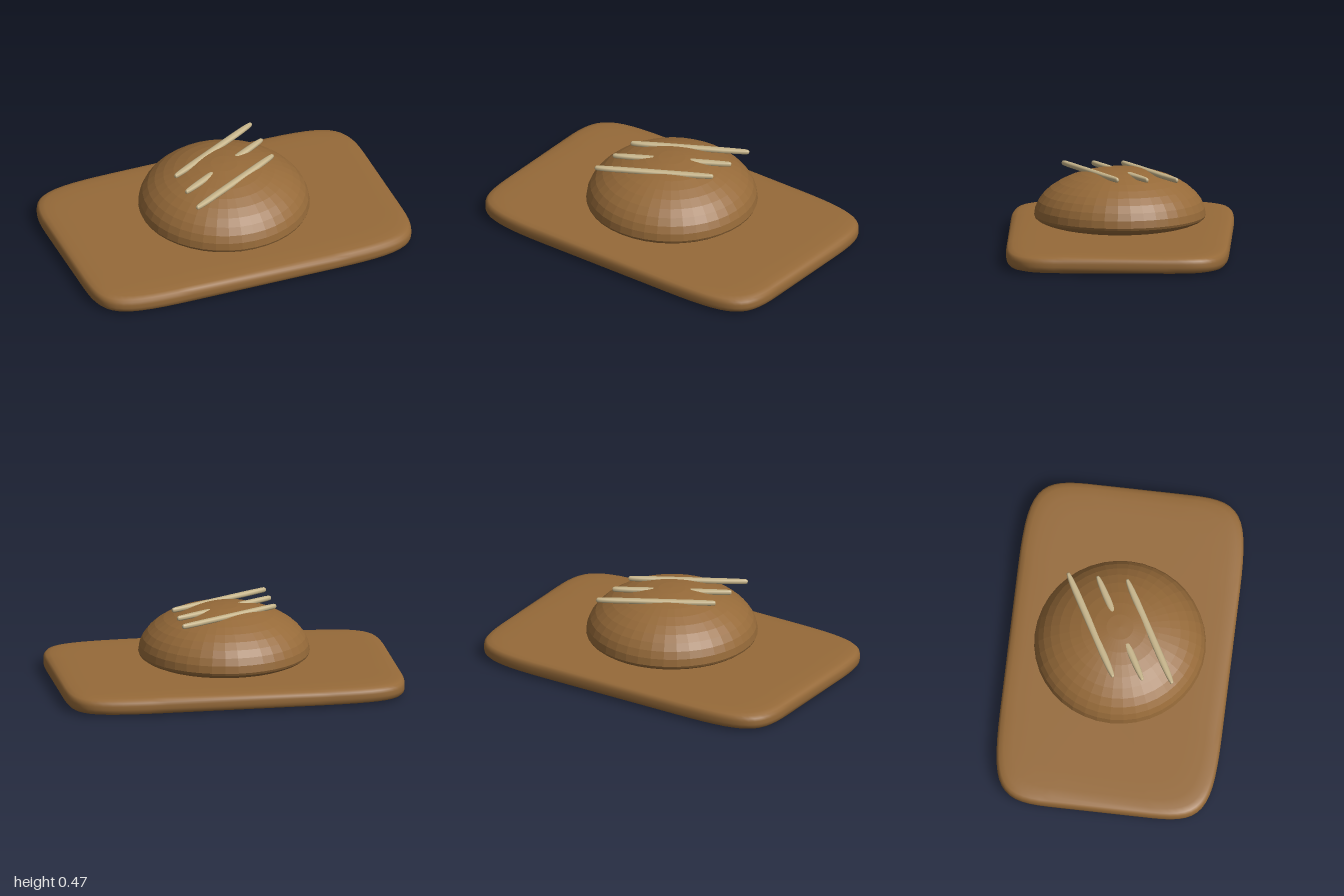
import * as THREE from 'three';
import { mergeVertices } from 'three/addons/utils/BufferGeometryUtils.js';

const crust = new THREE.MeshStandardMaterial({ color: 0x966a39 });
crust.name = 'warm brown';
const cream = new THREE.MeshStandardMaterial({ color: 0xc6b48a });
cream.name = 'pale cream';

// Outline of a soft-cornered rectangle; c holds the Bezier corner from the +z side to the +x side
function softOutline(c) {
  const corner = new THREE.CubicBezierCurve(...c.map(([x, z]) => new THREE.Vector2(x, z))).getPoints(14);
  const back = corner.map((p) => new THREE.Vector2(p.x, -p.y)).reverse();
  const right = [...corner, ...back];
  const left = right.map((p) => new THREE.Vector2(-p.x, -p.y));
  return [...right, ...left, right[0]];
}

// Slab: a lathe whose rings are reshaped to the outline; profile is [inset, y] from bottom to top
function slab(corner, profile) {
  const outline = softOutline(corner);
  const hx = corner[3][0], hz = corner[0][1];
  const geo = new THREE.LatheGeometry(profile.map(([r, y]) => new THREE.Vector2(r, y)), outline.length - 1);
  const pos = geo.attributes.position;
  const n = profile.length;
  outline.forEach((p, i) => profile.forEach(([inset, y], j) => {
    const sx = Math.max(0, 1 - inset / hx), sz = Math.max(0, 1 - inset / hz);
    pos.setXYZ(i * n + j, p.x * sx, y, p.y * sz);
  }));
  geo.deleteAttribute('uv');
  geo.deleteAttribute('normal');
  const merged = mergeVertices(geo, 1e-5);
  merged.computeVertexNormals();
  return merged;
}

export function createModel() {
  const model = new THREE.Group();
  const add = (name, geometry, material) => {
    const mesh = new THREE.Mesh(geometry, material);
    mesh.name = name;
    model.add(mesh);
    return mesh;
  };

  // Serving board with rounded edges
  add('board', slab(
    [[0.45, 0.65], [0.93, 0.65], [1, 0.6], [1, 0.3]],
    [[2, 0], [0.2, 0], [0.09, 0.002], [0.04, 0.006], [0.014, 0.014], [0.003, 0.027], [0, 0.045],
      [0, 0.065], [0.003, 0.083], [0.014, 0.096], [0.04, 0.104], [0.09, 0.108], [0.2, 0.11], [2, 0.11]],
  ), crust);

  // Loaf: tall dome above the equator, shallow bowl below, faceted
  const dome = new THREE.SphereGeometry(0.5, 40, 20);
  const pos = dome.attributes.position;
  for (let i = 0; i < pos.count; i++) {
    const y = pos.getY(i);
    pos.setY(i, 0.19 + y * (y > 0 ? 0.55 : 0.18));
  }
  const faceted = dome.toNonIndexed();
  faceted.computeVertexNormals();
  add('loaf', faceted, crust);

  // Three diagonal scores across the top
  const strip = slab(
    [[0.2, 0.02], [0.3, 0.018], [0.348, 0.013], [0.348, 0.005]],
    [[1, 0], [0.01, 0.001], [0.003, 0.005], [0, 0.011], [0, 0.019], [0.003, 0.025], [0.01, 0.029], [1, 0.03]],
  );
  ['scoreBack', 'scoreMiddle', 'scoreFront'].forEach((name, i) => {
    const mesh = add(name, strip, cream);
    mesh.position.set(0, 0.428, (i - 1) * 0.173);
    mesh.rotation.y = 0.505;
  });

  return model;
}
